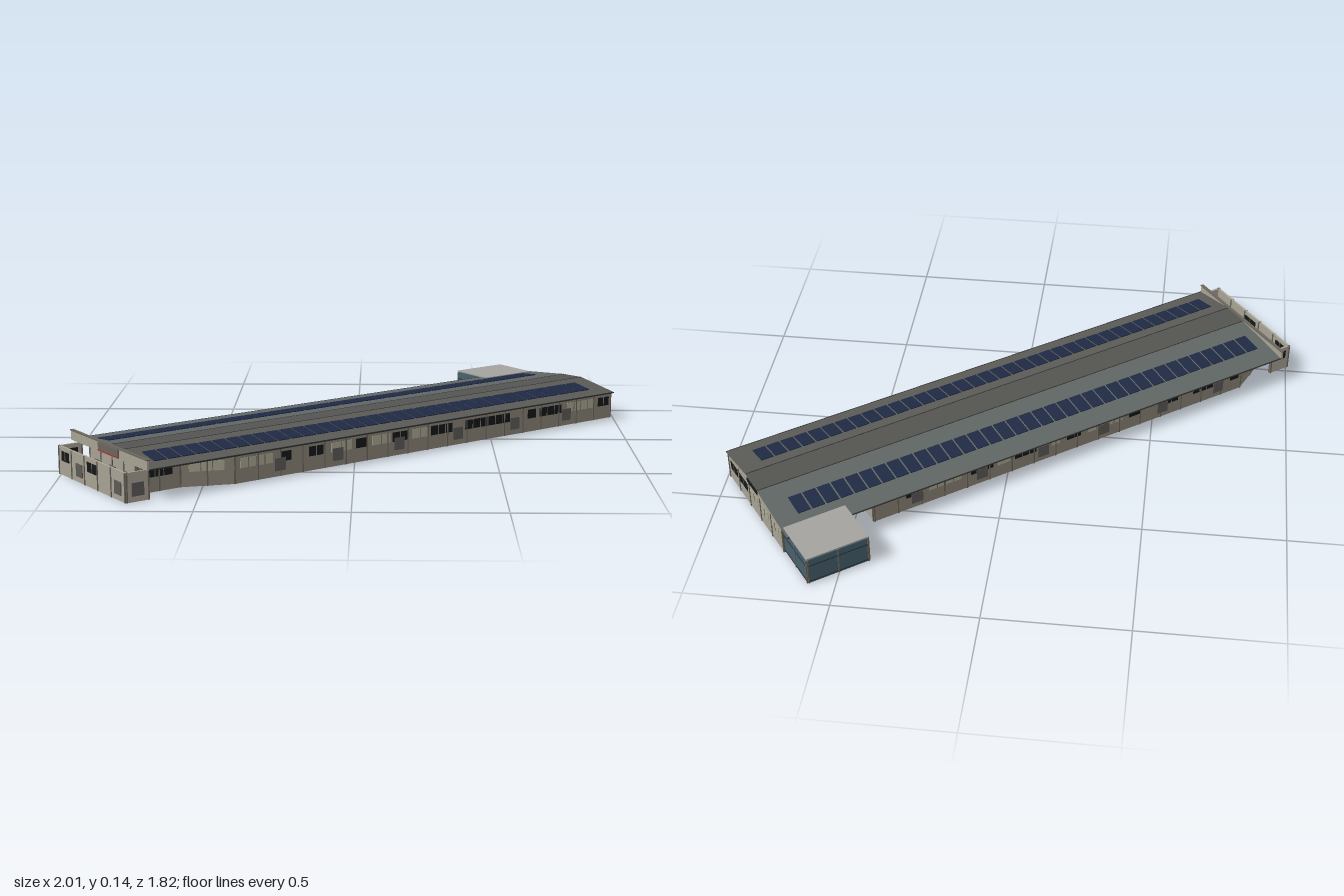
import * as THREE from 'three';

const mat = (color) => new THREE.MeshStandardMaterial({ color });
const M = {
  wall: mat(0x8a8477), pale: mat(0xa8a294), trim: mat(0x6b665c), dark: mat(0x15171a), lit: mat(0xa9a892),
  door: mat(0x5c5b57), roofFront: mat(0x5a5a56), roofBack: mat(0x5f6664), ridge: mat(0x545451),
  under: mat(0x2b2b2b), seam: mat(0x333333), solar: mat(0x1f2a44), glass: mat(0x46606e),
  canopy: mat(0xa3a29e), red: mat(0xa03a34), frame: mat(0x2f3a40),
};

function box(parent, name, m, w, h, d, x, y, z) {
  const b = new THREE.Mesh(new THREE.BoxGeometry(w, h, d), m);
  b.name = name;
  b.position.set(x, y, z);
  parent.add(b);
  return b;
}

const WALL_H = 0.1;

// A thin wall between two plan points; local x runs along it, local +z faces outward.
function wall(parent, name, [x0, z0], [x1, z1], m = M.wall, h = WALL_H) {
  const g = new THREE.Group();
  g.name = name;
  g.position.set(x0, 0, z0);
  g.rotation.y = Math.atan2(z0 - z1, x1 - x0);
  const len = Math.hypot(x1 - x0, z1 - z0);
  box(g, 'wallPanel', m, len, h, 0.008, len / 2, h / 2, 0);
  const n = Math.max(1, Math.round(len / 0.09));
  for (let i = 0; i <= n; i++) box(g, 'pilaster', M.trim, 0.005, h, 0.013, (i * len) / n, h / 2, 0);
  parent.add(g);
  return g;
}

// Openings on a wall, given as [start, end] along it.
function windows(g, m, spans) {
  for (const [a, b] of spans) {
    box(g, 'window', m, b - a, 0.034, 0.011, (a + b) / 2, 0.068, 0);
    const n = Math.round((b - a) / 0.035);
    for (let i = 1; i < n; i++) box(g, 'mullion', M.trim, 0.003, 0.034, 0.013, a + ((b - a) * i) / n, 0.068, 0);
  }
}
function doors(g, centres) {
  for (const c of centres) box(g, 'door', M.door, 0.045, 0.045, 0.014, c, 0.042, 0);
}

// A sloping roof strip between two points of the cross-section.
const U0 = -1.042, U1 = 1.026, MID = (U0 + U1) / 2, LEN = U1 - U0;
function slope(parent, name, [z0, y0], [z1, y1], m) {
  const g = new THREE.Group();
  g.name = name;
  g.position.set(MID, (y0 + y1) / 2, (z0 + z1) / 2);
  g.rotation.x = Math.atan2(y0 - y1, z1 - z0);
  const w = Math.hypot(z1 - z0, y1 - y0);
  box(g, 'roofSheet', m, LEN, 0.003, w, 0, -0.0015, 0);
  box(g, 'roofUnderside', M.under, LEN - 0.01, 0.002, w, 0, -0.004, 0);
  parent.add(g);
  return g;
}

export function createModel() {
  const model = new THREE.Group();
  model.name = 'longBuilding';
  const b = new THREE.Group();
  b.name = 'building';
  b.rotation.y = 0.6435;
  b.position.set(0.003, 0, 0.006);
  model.add(b);

  // Front wall with its set-back left end
  const front = wall(b, 'frontWall', [-0.71, 0.28], [1.02, 0.28]);
  const fromU = (list) => list.map(([p, q]) => [p + 0.71, q + 0.71]);
  windows(front, M.dark, fromU([[-0.53, -0.484], [-0.41, -0.35], [-0.21, -0.163], [-0.05, 0.017], [0.124, 0.224],
    [0.285, 0.5], [0.59, 0.63], [0.65, 0.76], [0.953, 1.01]]));
  windows(front, M.lit, fromU([[-0.69, -0.56], [-0.317, -0.23], [-0.14, -0.06], [0.037, 0.11], [0.79, 0.93]]));
  doors(front, [-0.53, -0.29, -0.02, 0.25, 0.525, 0.786].map((u) => u + 0.71));
  windows(wall(b, 'frontAngledWall', [-0.88, 0.21], [-0.71, 0.28]), M.lit, [[0.03, 0.15]]);
  windows(wall(b, 'frontRecessWall', [-1.04, 0.21], [-0.88, 0.21]), M.dark, [[0.03, 0.13]]);

  // Right end wall
  const end = wall(b, 'endWall', [1.02, 0.28], [1.02, -0.19], M.pale);
  windows(end, M.dark, [[0.02, 0.08], [0.1, 0.17]]);
  windows(end, M.lit, [[0.2, 0.26], [0.29, 0.35], [0.38, 0.44]]);

  // Back wall, recessed behind the glazed porch and angled at the far end
  wall(b, 'porchInnerWall', [1.02, -0.13], [0.685, -0.13], M.pale);
  wall(b, 'porchReturnWall', [0.685, -0.13], [0.685, -0.2], M.pale);
  const back = wall(b, 'backWall', [0.685, -0.2], [-0.88, -0.2]);
  const backU = (list) => list.map(([p, q]) => [0.685 - p, 0.685 - q]);
  windows(back, M.dark, backU([[0.56, 0.51], [0.3, 0.21], [0.12, 0.03], [-0.1, -0.16], [-0.37, -0.42],
    [-0.5, -0.59], [-0.66, -0.75], [-0.83, -0.87]]));
  windows(back, M.lit, backU([[0.47, 0.34], [0.19, 0.14], [0.01, -0.07], [-0.19, -0.34]]));
  doors(back, [0.517, 0.256, 0, -0.26, -0.52, -0.775].map((u) => 0.685 - u));
  wall(b, 'backAngledWall', [-0.88, -0.2], [-1.04, -0.11]);

  // Entrance facade with a straight parapet
  const facade = wall(b, 'entranceFacade', [-1.04, -0.11], [-1.04, 0.21], M.pale);
  doors(facade, [0.06, 0.16, 0.26]);
  box(b, 'parapet', M.pale, 0.008, 0.035, 0.536, -1.044, 0.1155, 0.026);
  box(b, 'parapetCap', M.trim, 0.012, 0.004, 0.54, -1.044, 0.133, 0.026);
  box(b, 'signBoard', M.trim, 0.006, 0.024, 0.14, -1.05, 0.118, 0.035);
  box(b, 'redBand', M.red, 0.006, 0.005, 0.14, -1.051, 0.104, 0.035);

  // Roofless forecourt screen
  const screen = wall(b, 'forecourtScreen', [-1.12, -0.184], [-1.12, 0.282], M.pale);
  windows(screen, M.dark, [[0.02, 0.075], [0.207, 0.277]]);
  doors(screen, [0.15, 0.42]);
  windows(wall(b, 'forecourtBackSide', [-1.04, -0.184], [-1.12, -0.184], M.pale), M.dark, [[0.015, 0.065]]);
  doors(wall(b, 'forecourtFrontSide', [-1.12, 0.282], [-1.04, 0.282], M.pale), [0.04]);

  // Roof: two slopes and a raised ridge strip
  const P = [[-0.24, 0.102], [0.01, 0.128], [0.11, 0.132], [0.296, 0.102]];
  const backSlope = slope(b, 'backRoof', P[0], P[1], M.roofBack);
  slope(b, 'ridgeRoof', P[1], P[2], M.ridge);
  const frontSlope = slope(b, 'frontRoof', P[2], P[3], M.roofFront);
  for (const [z, y] of P) box(b, 'roofSeam', M.seam, LEN, 0.003, 0.004, MID, y - 0.001, z);

  // Solar panel rows
  const COUNT = 36, pitch = 1.944 / COUNT;
  for (const [s, zc] of [[frontSlope, -0.003], [backSlope, 0.003]])
    for (let i = 0; i < COUNT; i++)
      box(s, 'solarPanel', M.solar, pitch - 0.007, 0.003, 0.084, -0.995 + pitch * (i + 0.5) - MID, 0.002, zc);

  // Gable infill above the end wall
  const gable = new THREE.Shape([[-0.2, 0.098], [0.28, 0.098], [0.28, 0.1], [0.11, 0.127], [0.01, 0.123], [-0.2, 0.101]]
    .map(([z, y]) => new THREE.Vector2(-z, y)));
  const gm = new THREE.Mesh(new THREE.ExtrudeGeometry(gable, { depth: 0.008, bevelEnabled: false }), M.pale);
  gm.name = 'gable';
  gm.rotation.y = Math.PI / 2;
  gm.position.x = 1.016;
  b.add(gm);
  box(b, 'gableVent', M.dark, 0.004, 0.018, 0.09, 1.024, 0.112, 0.06);

  // Glazed porch at the back corner
  const porch = new THREE.Group();
  porch.name = 'glazedPorch';
  b.add(porch);
  const a = [1.015, -0.19], c = [1.015, -0.371], d = [0.792, -0.371], e = [0.792, -0.2];
  for (const [p, q] of [[a, c], [c, d], [d, e]]) {
    const g = wall(porch, 'porchGlazing', p, q, M.glass);
    const len = Math.hypot(p[0] - q[0], p[1] - q[1]);
    for (const y of [0.008, 0.075]) box(g, 'glazingRail', M.frame, len, 0.005, 0.012, len / 2, y, 0);
  }
  box(porch, 'porchRoof', M.canopy, 0.232, 0.004, 0.186, 0.903, 0.106, -0.283);
  box(porch, 'porchFloor', M.door, 0.222, 0.004, 0.18, 0.903, 0.006, -0.28);

  return model;
}
